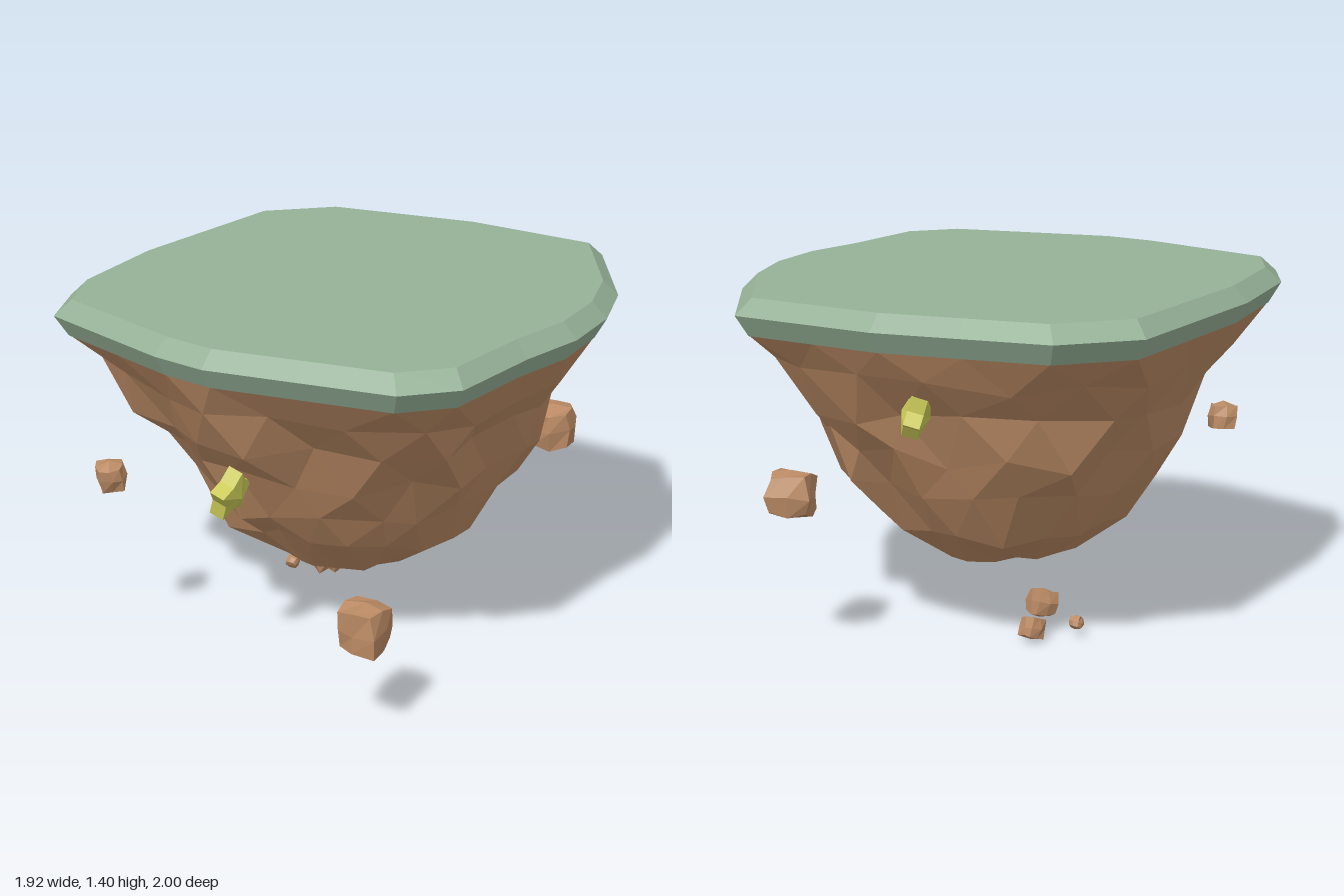
import * as THREE from 'three';
import { mergeVertices } from 'three/addons/utils/BufferGeometryUtils.js';

const material = (color) => new THREE.MeshStandardMaterial({ color, flatShading: true });
const GRASS = material(0x96b197), ROCK = material(0xba8a64), CRYSTAL = material(0xcaca58);

// small seeded generator, returns -1..1
function seeded(seed) {
  let s = seed;
  return () => {
    s = (s * 16807) % 2147483647;
    return (s / 2147483647) * 2 - 1;
  };
}

// rim of the island as x, z pairs, clockwise from the back
const RIM = [
  [0.05, -1], [0.63, -0.945], [0.89, -0.48], [0.96, -0.2], [0.96, 0.08],
  [0.89, 0.35], [0.83, 0.74], [0.66, 0.9], [-0.05, 1], [-0.27, 0.965],
  [-0.85, 0.775], [-0.95, 0.53], [-0.965, 0.07], [-0.86, -0.7], [-0.61, -0.92],
].map(([x, z]) => new THREE.Vector2(x, z));

// rim with the long edges split in two
const FINE_RIM = RIM.flatMap((p, i) => {
  const q = RIM[(i + 1) % RIM.length];
  return p.distanceTo(q) > 0.42 ? [p, p.clone().lerp(q, 0.5)] : [p];
});

// joins rings (top to bottom) and closes either end with a centre point
function loft(rings, topCentre, bottomCentre) {
  const n = rings[0].length, index = [];
  const points = [...rings.flat(), topCentre, bottomCentre];
  const top = rings.length * n, bottom = top + 1;
  for (let i = 0; i < n; i++) {
    const j = (i + 1) % n;
    for (let r = 0; r < rings.length - 1; r++) {
      const a = r * n + i, b = r * n + j, c = a + n, d = b + n;
      if (r % 2) index.push(a, b, d, a, d, c);
      else index.push(a, b, c, b, d, c);
    }
    index.push(top, j, i, bottom, top - n + i, top - n + j);
  }
  const geometry = new THREE.BufferGeometry().setFromPoints(points);
  geometry.setIndex(index);
  geometry.computeVertexNormals();
  return geometry;
}

function add(parent, name, geometry, mat) {
  const mesh = new THREE.Mesh(geometry, mat);
  mesh.name = name;
  parent.add(mesh);
  return mesh;
}

// turf slab with bevelled edge
function grassGeometry() {
  const rings = [[1.4, 0.94], [1.34, 1], [1.26, 0.955]].map(([y, k]) =>
    FINE_RIM.map((p) => new THREE.Vector3(p.x * k, y, p.y * k)));
  return loft(rings, new THREE.Vector3(0, 1.4, 0), new THREE.Vector3(0, 1.26, 0));
}

// rugged underside: the rim outline turns rounder as it narrows downwards,
// every second ring is shifted by half a step
function rockGeometry() {
  const rnd = seeded(4711);
  const levels = [ // height, radius, roundness, roughness, shift in z
    [1.262, 0.953, 0, 0, 0], [1.13, 0.875, 0.1, 0.025, 0], [0.98, 0.775, 0.35, 0.04, 0],
    [0.82, 0.695, 0.5, 0.04, -0.015], [0.64, 0.61, 0.55, 0.04, -0.02],
    [0.47, 0.485, 0.6, 0.03, -0.01], [0.315, 0.29, 1, 0.012, 0],
  ];
  const rings = levels.map(([y, r, round, rough, shift], level) => FINE_RIM.map((p, i) => {
    const next = FINE_RIM[(i + 1) % FINE_RIM.length];
    const q = p.clone().lerp(next, level % 2 ? 0.5 : 0);
    const k = THREE.MathUtils.lerp(r, r / q.length(), round) + rnd() * rough;
    q.rotateAround(new THREE.Vector2(), rnd() * rough * 1.4);
    return new THREE.Vector3(q.x * k, y + rnd() * rough * 1.2, q.y * k + shift);
  }));
  return loft(rings, new THREE.Vector3(0, 1.262, 0), new THREE.Vector3(0.02, 0.265, 0.03));
}

// chunky loose stone: a dented, rounded cube
function stoneGeometry(radius, seed) {
  const rnd = seeded(seed);
  let g = new THREE.BoxGeometry(2, 2, 2, 2, 2, 2);
  g.deleteAttribute('normal');
  g.deleteAttribute('uv');
  g = mergeVertices(g);
  const pos = g.attributes.position, v = new THREE.Vector3();
  for (let i = 0; i < pos.count; i++) {
    v.fromBufferAttribute(pos, i);
    v.lerp(v.clone().setLength(1.05), 0.55);
    v.x += rnd() * 0.12;
    v.y += rnd() * 0.12;
    v.z += rnd() * 0.12;
    v.multiplyScalar(radius);
    pos.setXYZ(i, v.x, v.y, v.z);
  }
  g.computeVertexNormals();
  return g;
}

// five-pointed crystal with raised faces, lying in the yz plane
function starGeometry(radius, thickness) {
  const rings = [1, -1].map((side) => Array.from({ length: 10 }, (_, i) => {
    const a = (i / 10) * Math.PI * 2, r = i % 2 ? radius * 0.64 : radius;
    return new THREE.Vector3(Math.cos(a) * r, side * thickness * 0.5, Math.sin(a) * r);
  }));
  const peak = thickness * 0.9;
  return loft(rings, new THREE.Vector3(0, peak, 0), new THREE.Vector3(0, -peak, 0)).rotateZ(Math.PI / 2);
}

export function createModel() {
  const island = new THREE.Group();
  island.name = 'floatingIsland';
  add(island, 'grassTop', grassGeometry(), GRASS);
  add(island, 'rockBase', rockGeometry(), ROCK);

  // loose stones: x, y, z, radius
  const stones = [
    [0.525, 0.43, 0.865, 0.09], [0.52, 0.64, -0.77, 0.092], [-0.655, 0.72, 0.73, 0.057],
    [-0.23, 0.12, -0.14, 0.054], [-0.24, 0.055, -0.26, 0.044], [-0.375, 0.06, -0.14, 0.025],
  ];
  stones.forEach(([x, y, z, r], i) => {
    const stone = add(island, 'looseStone' + (i + 1), stoneGeometry(r, 91 + i * 577), ROCK);
    stone.position.set(x, y, z);
    stone.rotation.set(i * 0.1, i * 0.3, 0);
  });

  // crystals: x, y, z, radius, spin, turn, tilt
  const crystals = [
    [-0.125, 0.76, 0.72, 0.105, 0.1, 0, -0.33],
    [-0.04, 1.02, -0.83, 0.09, 0.75, 0.35, 0.3],
  ];
  crystals.forEach(([x, y, z, r, spin, turn, tilt], i) => {
    const crystal = add(island, 'crystal' + (i + 1), starGeometry(r, 0.06), CRYSTAL);
    crystal.position.set(x, y, z);
    crystal.rotation.set(spin, turn, tilt, 'ZYX');
  });
  return island;
}
